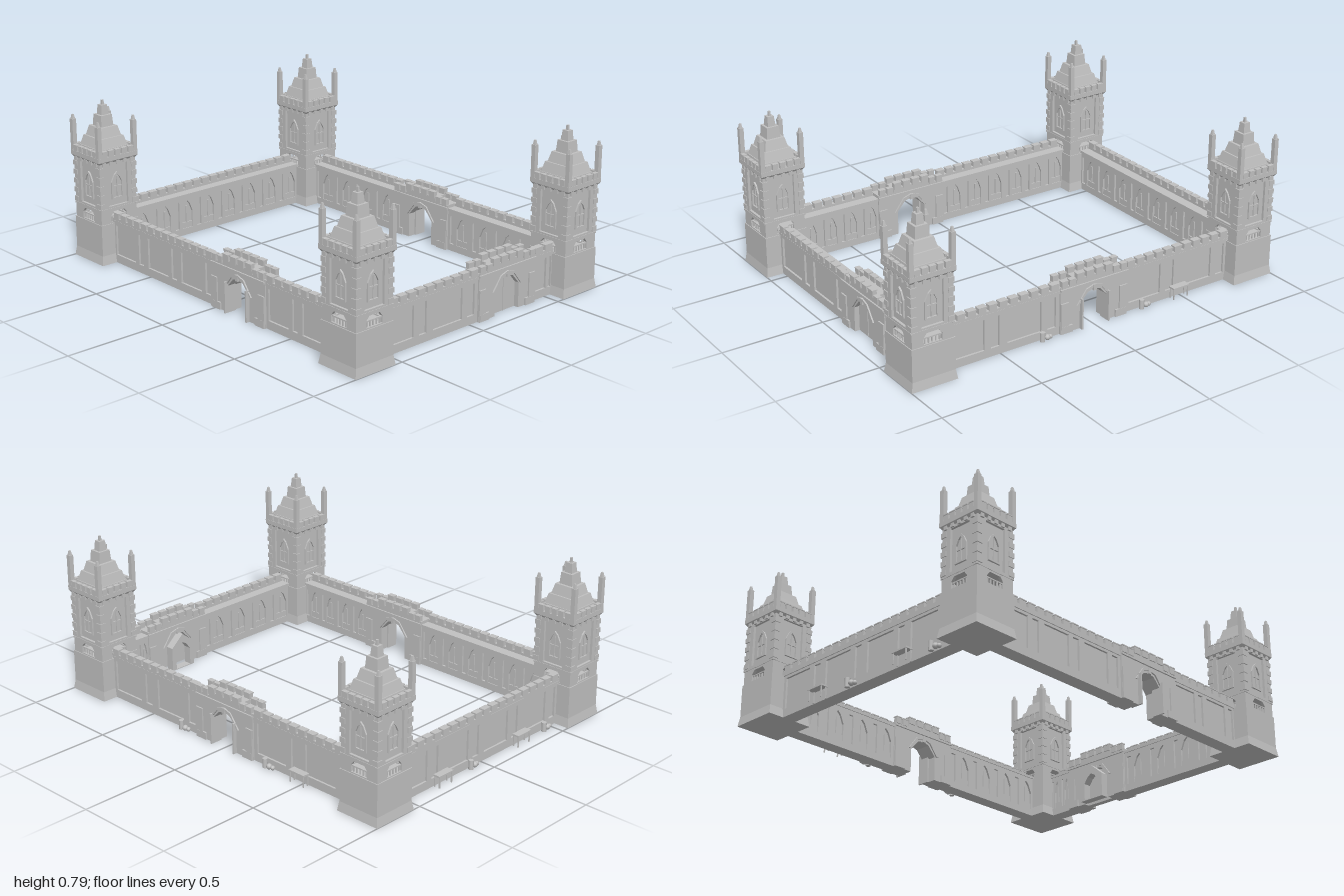
import * as THREE from 'three';

const stone = new THREE.MeshStandardMaterial({ color: 0xc0c0c0 });
stone.name = 'stone';

function add(parent, name, geo, x = 0, y = 0, z = 0) {
  const mesh = new THREE.Mesh(geo, stone);
  mesh.name = name;
  mesh.position.set(x, y, z);
  parent.add(mesh);
  return mesh;
}

// Box standing on y
function box(parent, name, w, h, d, x, y, z) {
  return add(parent, name, new THREE.BoxGeometry(w, h, d), x, y + h / 2, z);
}

// Square tapered block standing on y; half widths at bottom and top
function taper(parent, name, bottom, top, h, y, x = 0, z = 0) {
  let geo = new THREE.CylinderGeometry(top * Math.SQRT2, bottom * Math.SQRT2, h, 4, 1);
  geo.rotateY(Math.PI / 4);
  geo = geo.toNonIndexed();
  geo.computeVertexNormals();
  return add(parent, name, geo, x, y + h / 2, z);
}

const poly = (pts, Type = THREE.Path) => new Type(pts.map(p => new THREE.Vector2(p[0], p[1])));
const rect = (x0, x1, y0, y1) => [[x0, y0], [x1, y0], [x1, y1], [x0, y1]];
// Pointed arch outline
const arch = (x, w, y0, spring, apex) => [
  [x - w, y0], [x + w, y0], [x + w, spring], [x + w * 0.5, spring + (apex - spring) * 0.7],
  [x, apex], [x - w * 0.5, spring + (apex - spring) * 0.7], [x - w, spring]];

// Plate with holes, from z to z + depth
function plate(parent, name, outline, holes, depth, z) {
  const shape = poly(outline, THREE.Shape);
  shape.holes = holes.map(h => poly(h));
  return add(parent, name, new THREE.ExtrudeGeometry(shape, { depth, bevelEnabled: false }), 0, 0, z);
}

// Row of merlons along x
function merlons(parent, x0, x1, y, h, d, z, pitch) {
  const n = Math.max(1, Math.round((x1 - x0) / pitch));
  const p = (x1 - x0) / n;
  for (let i = 0; i < n; i++) {
    const x = x0 + p * (i + 0.5);
    box(parent, 'merlon', p * 0.72, h, d, x, y, z);
    box(parent, 'merlonCap', p * 0.8, 0.005, d + 0.005, x, y + h - 0.004, z);
  }
}

// Straight stretch of wall: outer side faces +z
function wallRun(parent, x0, x1) {
  const len = x1 - x0, mid = (x0 + x1) / 2;
  box(parent, 'wallCore', len, 0.215, 0.05, mid, 0, 0);

  // Wide and narrow sunken panels outside, arches and slits inside
  const n = Math.max(1, Math.round(len / 0.26));
  const p = len / n, outer = [], inner = [];
  for (let i = 0; i < n; i++) {
    const a = x0 + p * i;
    outer.push(rect(a + p * 0.07, a + p * 0.67, 0.04, 0.19), rect(a + p * 0.78, a + p * 0.93, 0.04, 0.19));
    for (const k of [0, 0.5]) {
      const c = a + p * (k + 0.18);
      inner.push(arch(c, p * 0.12, 0.035, 0.12, 0.18), rect(a + p * (k + 0.36), a + p * (k + 0.45), 0.035, 0.18));
      box(parent, 'nicheMullion', 0.008, 0.11, 0.008, c, 0.04, -0.027);
      box(parent, 'nicheSill', p * 0.24, 0.03, 0.006, c, 0.035, -0.028);
    }
  }
  plate(parent, 'outerPanels', rect(x0, x1, 0, 0.215), outer, 0.01, 0.025);
  plate(parent, 'innerArcade', rect(x0, x1, 0, 0.215), inner, 0.01, -0.035);

  // Cornice, walkway parapet and merlons
  box(parent, 'cornice', len, 0.012, 0.078, mid, 0.203, 0);
  box(parent, 'parapet', len, 0.014, 0.026, mid, 0.213, 0.025);
  merlons(parent, x0, x1, 0.22, 0.034, 0.026, 0.025, 0.056);
}

// Thicker gate section with a raised middle
function gate(parent, cx, open) {
  const g = new THREE.Group();
  g.name = 'gatehouse';
  g.position.x = cx;
  parent.add(g);
  const doorway = [[-0.078, 0], [-0.078, 0.12], [-0.035, 0.168], [0, 0.178], [0.035, 0.168], [0.078, 0.12], [0.078, 0]];
  const outline = [[-0.185, 0], ...doorway, [0.185, 0], [0.185, 0.23], [0.1, 0.23], [0.1, 0.25], [-0.1, 0.25], [-0.1, 0.23], [-0.185, 0.23]];
  plate(g, 'gateWall', outline, [], 0.084, -0.042);

  for (const s of [-1, 1]) {
    // Hood moulding, buttresses and battlements on both faces
    const hood = [[-0.086, 0.12], [-0.04, 0.178], [0, 0.19], [0.04, 0.178], [0.086, 0.12],
      [0.096, 0.12], [0.045, 0.188], [0, 0.202], [-0.045, 0.188], [-0.096, 0.12]];
    plate(g, 'hoodMoulding', hood, [], 0.008, s > 0 ? 0.041 : -0.049);
    box(g, 'keystone', 0.018, 0.028, 0.012, 0, 0.172, s * 0.045);
    for (const m of [-1, 1]) {
      box(g, 'buttress', 0.042, 0.15, 0.012, m * 0.163, 0, s * 0.043);
      box(g, 'buttressFoot', 0.06, 0.035, 0.014, m * 0.15, 0, s * 0.043);
      merlons(g, m > 0 ? 0.1 : -0.185, m > 0 ? 0.185 : -0.1, 0.225, 0.034, 0.02, s * 0.036, 0.045);
    }
    box(g, 'gateCornice', 0.372, 0.01, 0.014, 0, 0.21, s * 0.042);
    merlons(g, -0.105, 0.105, 0.245, 0.033, 0.022, s * 0.036, 0.055);
  }

  if (open) {
    // Door leaves swung outward
    for (const m of [-1, 1]) box(g, 'doorLeaf', 0.008, 0.15, 0.062, m * 0.074, 0, 0.03);
  } else {
    // Closed door and inner porch
    plate(g, 'door', doorway, [], 0.03, -0.012);
    box(g, 'doorSeam', 0.004, 0.165, 0.006, 0, 0, 0.018);
    plate(g, 'porch', [[-0.07, 0], [0.07, 0], [0.07, 0.12], [0, 0.18], [-0.07, 0.12]],
      [arch(0, 0.045, 0.004, 0.09, 0.135)], 0.04, -0.08);
  }
}

function wall(name, half, gateX = null, open = true) {
  const g = new THREE.Group();
  g.name = name;
  if (gateX === null) wallRun(g, -half, half);
  else {
    wallRun(g, -half, gateX - 0.184);
    wallRun(g, gateX + 0.184, half);
    gate(g, gateX, open);
  }
  return g;
}

function tower() {
  const t = new THREE.Group();
  t.name = 'tower';
  taper(t, 'plinth', 0.115, 0.108, 0.045, 0);
  taper(t, 'base', 0.108, 0.108, 0.16, 0.04);
  box(t, 'upperCore', 0.184, 0.245, 0.184, 0, 0.265, 0);

  for (let i = 0; i < 4; i++) {
    const f = new THREE.Group();
    f.name = 'towerFace';
    f.rotation.y = i * Math.PI / 2;
    t.add(f);
    // Face with belfry opening and sunken window panel
    const opening = [[-0.046, 0.206], [0.046, 0.206], [0.046, 0.238], [0.03, 0.258], [-0.03, 0.258], [-0.046, 0.238]];
    plate(f, 'faceFrame', rect(-0.104, 0.104, 0.198, 0.512), [opening, rect(-0.056, 0.056, 0.285, 0.49)], 0.014, 0.09);
    plate(f, 'windowSurround', arch(0, 0.034, 0.315, 0.4, 0.45), [arch(0, 0.025, 0.323, 0.398, 0.436)], 0.009, 0.091);
    box(f, 'mullion', 0.005, 0.11, 0.007, 0, 0.32, 0.094);
    box(f, 'transom', 0.05, 0.005, 0.007, 0, 0.375, 0.094);
    // Balustrade
    box(f, 'handrail', 0.092, 0.006, 0.008, 0, 0.23, 0.096);
    for (let k = -2; k <= 2; k++) box(f, 'baluster', 0.005, 0.03, 0.006, k * 0.018, 0.202, 0.096);
    box(f, 'stringCourse', 0.216, 0.008, 0.012, 0, 0.268, 0.1);
    // Battlements
    merlons(f, -0.095, 0.095, 0.53, 0.035, 0.014, 0.106, 0.038);
    for (let k = -2; k <= 2; k++) box(f, 'corbel', 0.018, 0.018, 0.01, k * 0.04, 0.492, 0.107);
    // Corner pier, quoins and pinnacle
    box(f, 'pier', 0.03, 0.07, 0.03, 0.085, 0.198, 0.085);
    for (let k = 0; k < 5; k++) box(f, 'quoin', 0.03, 0.024, 0.03, 0.093, 0.28 + k * 0.045, 0.093);
    box(f, 'pinnacle', 0.022, 0.175, 0.022, 0.102, 0.515, 0.102);
    taper(f, 'pinnacleTip', 0.008, 0.004, 0.022, 0.69, 0.102, 0.102);
  }

  taper(t, 'cornice', 0.105, 0.114, 0.012, 0.503);
  taper(t, 'roofDeck', 0.114, 0.114, 0.022, 0.514);
  // Stepped spire: half width below, half width above, bottom, top
  for (const [a, b, y0, y1] of [[0.088, 0.084, 0.53, 0.565], [0.08, 0.068, 0.565, 0.612], [0.06, 0.048, 0.612, 0.66],
    [0.035, 0.031, 0.66, 0.715], [0.02, 0.016, 0.715, 0.762], [0.006, 0.005, 0.762, 0.785]]) taper(t, 'spireTier', a, b, y1 - y0, y0);
  return t;
}

// Small table against a wall
function table(parent, x) {
  box(parent, 'tableTop', 0.092, 0.008, 0.036, x, 0.052, 0.055);
  for (const dx of [-0.04, 0.04]) for (const z of [0.042, 0.068]) box(parent, 'tableLeg', 0.005, 0.053, 0.005, x + dx, 0, z);
}

// Barrel with sacks
function stores(parent, x) {
  add(parent, 'barrel', new THREE.CylinderGeometry(0.012, 0.012, 0.045, 10), x - 0.016, 0.0225, 0.05);
  for (const [dx, z, r] of [[0.01, 0.05, 0.014], [0.028, 0.046, 0.011]]) add(parent, 'sack', new THREE.SphereGeometry(r, 8, 6), x + dx, r, z);
}

export function createModel() {
  const model = new THREE.Group();
  model.name = 'walledCourtyard';

  for (const x of [-0.885, 0.885]) for (const z of [-0.653, 0.653]) {
    const t = tower();
    t.position.set(x, 0, z);
    model.add(t);
  }

  const front = wall('frontWall', 0.785, 0.155);
  front.position.z = 0.65;
  const back = wall('backWall', 0.785, 0);
  back.position.z = -0.655;
  back.rotation.y = Math.PI;
  const left = wall('leftWall', 0.55, 0.235, false);
  left.position.x = 0.88;
  left.rotation.y = Math.PI / 2;
  const right = wall('rightWall', 0.55);
  right.position.x = -0.887;
  right.rotation.y = -Math.PI / 2;
  model.add(front, back, left, right);

  // Furniture outside the back and right walls
  table(back, 0.485);
  stores(back, 0.285);
  stores(back, -0.27);
  for (const x of [-0.28, 0.265]) table(right, x);
  for (const x of [-0.07, 0.455]) stores(right, x);
  return model;
}
